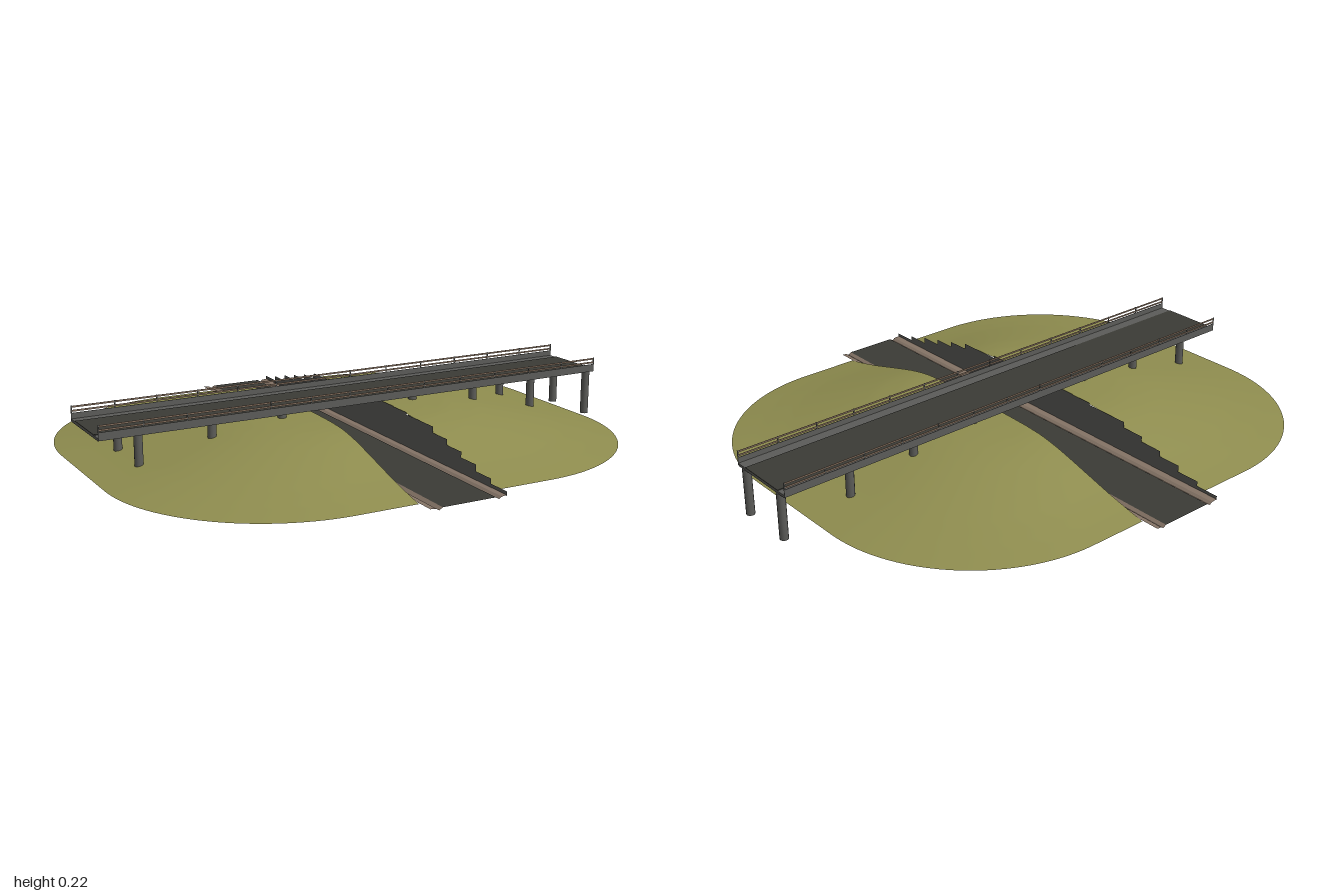
import * as THREE from 'three';

const mat = (name, color, side = THREE.FrontSide) => {
  const m = new THREE.MeshStandardMaterial({ color, side });
  m.name = name;
  return m;
};

// Hill plan: rounded rectangle centred on (CX, 0)
const CX = -0.06, HX = 0.94, HZ = 0.8, R = 0.58;
const CUT_LEFT = 0.08, CUT_RIGHT = -0.2, ROAD_Y = 0.03, ROAD_HALF = 0.865;
const HEIGHTS = [0.155, 0.155, 0.154, 0.152, 0.146, 0.131, 0.11, 0.088, 0.066, 0.047, 0.03];

// 0 at the summit, 1 on the rim
function rimFraction(x, z) {
  const a = Math.abs(x - CX), b = Math.abs(z), fx = HX - R, fz = HZ - R;
  const A = a * a + b * b;
  if (A < 1e-8) return 0;
  const B = fx * a + fz * b, C = fx * fx + fz * fz - R * R;
  const s = (B + Math.sqrt(Math.max(0, B * B - A * C))) / A;
  if (a * s >= fx && b * s >= fz) return Math.min(1, 1 / s);
  return Math.min(1, Math.max(a / HX, b / HZ));
}

function hillHeight(x, z) {
  const t = rimFraction(x, z) * 10, i = Math.min(9, Math.floor(t));
  return THREE.MathUtils.lerp(HEIGHTS[i], HEIGHTS[i + 1], t - i);
}

// One side of the hill, from the road cutting out to the rim
function hillGeometry(cut, s) {
  const rows = 64, cols = 28, pos = [], index = [];
  for (let i = 0; i <= rows; i++) {
    const z = HZ * Math.sin((i / rows - 0.5) * Math.PI);
    const d = Math.max(0, Math.abs(z) - (HZ - R));
    const rim = CX + s * (HX - R + Math.sqrt(Math.max(0, R * R - d * d)));
    for (let j = 0; j <= cols; j++) {
      const x = THREE.MathUtils.lerp(cut, rim, j / cols);
      pos.push(x, hillHeight(x, z), z);
      if (i === rows || j === cols) continue;
      const a = i * (cols + 1) + j, b = a + 1, c = a + cols + 1, e = c + 1;
      if (s > 0) index.push(a, c, b, b, c, e);
      else index.push(a, b, c, b, e, c);
    }
  }
  const g = new THREE.BufferGeometry();
  g.setAttribute('position', new THREE.Float32BufferAttribute(pos, 3));
  g.setIndex(index);
  g.computeVertexNormals();
  return g;
}

// Flat strip running along z between two points of the road section
function stripGeometry([x0, y0], [x1, y1]) {
  const L = ROAD_HALF, g = new THREE.BufferGeometry();
  g.setAttribute('position', new THREE.Float32BufferAttribute(
    [x0, y0, -L, x0, y0, L, x1, y1, L, x1, y1, -L], 3));
  g.setIndex([0, 1, 2, 0, 2, 3]);
  g.computeVertexNormals();
  return g;
}

export function createModel() {
  const model = new THREE.Group();
  model.name = 'roadOverpass';
  const grass = mat('olive grass', 0x8f8d4f, THREE.DoubleSide);
  const asphalt = mat('dark asphalt', 0x3b3b36, THREE.DoubleSide);
  const concrete = mat('grey concrete', 0x5c5c59);
  const verge = mat('tan verge', 0x857466, THREE.DoubleSide);
  const railing = mat('brown railing', 0x86705e);

  const add = (name, geo, material, x = 0, y = 0, z = 0, parent = model) => {
    const m = new THREE.Mesh(geo, material);
    m.name = name;
    m.position.set(x, y, z);
    parent.add(m);
    return m;
  };
  const box = (name, w, h, d, material, x, y, z, parent) =>
    add(name, new THREE.BoxGeometry(w, h, d), material, x, y, z, parent);

  // Hill split by the cutting
  add('hillLeft', hillGeometry(CUT_LEFT, 1), grass);
  add('hillRight', hillGeometry(CUT_RIGHT, -1), grass);

  // Lower road with gutters and verges
  const section = [[-0.2, 0.033], [-0.178, 0.031], [-0.168, 0.024], [-0.155, 0.032],
    [0.04, 0.032], [0.052, 0.024], [0.062, 0.031], [0.08, 0.033]];
  for (let i = 0; i < section.length - 1; i++) {
    add(i === 3 ? 'lowerRoad' : 'roadVerge', stripGeometry(section[i], section[i + 1]),
      i === 3 ? asphalt : verge);
  }

  // Stepped retaining walls, facing the road
  const tops = [0.045, 0.062, 0.085, 0.105, 0.125, 0.147, 0.147, 0.155, 0.157, 0.157];
  const step = ROAD_HALF / tops.length;
  for (const [x, turn] of [[CUT_RIGHT, 1], [CUT_LEFT, -1]]) {
    const wall = new THREE.Group();
    wall.name = turn > 0 ? 'retainingWallRight' : 'retainingWallLeft';
    model.add(wall);
    tops.forEach((top, k) => {
      for (const s of [-1, 1]) {
        const panel = add('wallPanel', new THREE.PlaneGeometry(step, top - ROAD_Y), concrete,
          x, (top + ROAD_Y) / 2, s * (ROAD_HALF - (k + 0.5) * step), wall);
        panel.rotation.y = turn * Math.PI / 2;
      }
    });
  }

  // Bridge deck, carriageway and walkways
  const bridge = new THREE.Group();
  bridge.name = 'bridge';
  model.add(bridge);
  const len = 1.975, bx = 0.0025;
  box('deck', len, 0.008, 0.272, concrete, bx, 0.174, -0.002, bridge);
  box('carriageway', len, 0.003, 0.19, asphalt, bx, 0.179, -0.004, bridge);
  box('deckUnderside', len, 0.002, 0.264, asphalt, bx, 0.1695, -0.002, bridge);

  // Fascias and railings on both sides
  for (const s of [-1, 1]) {
    const z = -0.002 + s * 0.136;
    box('fascia', len, 0.028, 0.002, concrete, bx, 0.184, z, bridge);
    for (const y of [0.205, 0.219]) box('rail', len, 0.006, 0.002, railing, bx, y, z, bridge);
    for (let i = 0; i <= 13; i++) {
      box('railPost', 0.004, 0.026, 0.003, concrete,
        bx + (i / 13 - 0.5) * (len - 0.004), 0.21, z, bridge);
    }
  }

  // Paired bridge piers
  const pier = new THREE.CylinderGeometry(0.015, 0.015, 0.17, 12);
  for (const x of [-0.84, -0.58, -0.32, 0.2, 0.46, 0.72, 0.98]) {
    for (const z of [-0.1, 0.1]) add('pier', pier, concrete, x, 0.085, z, bridge);
  }
  return model;
}
